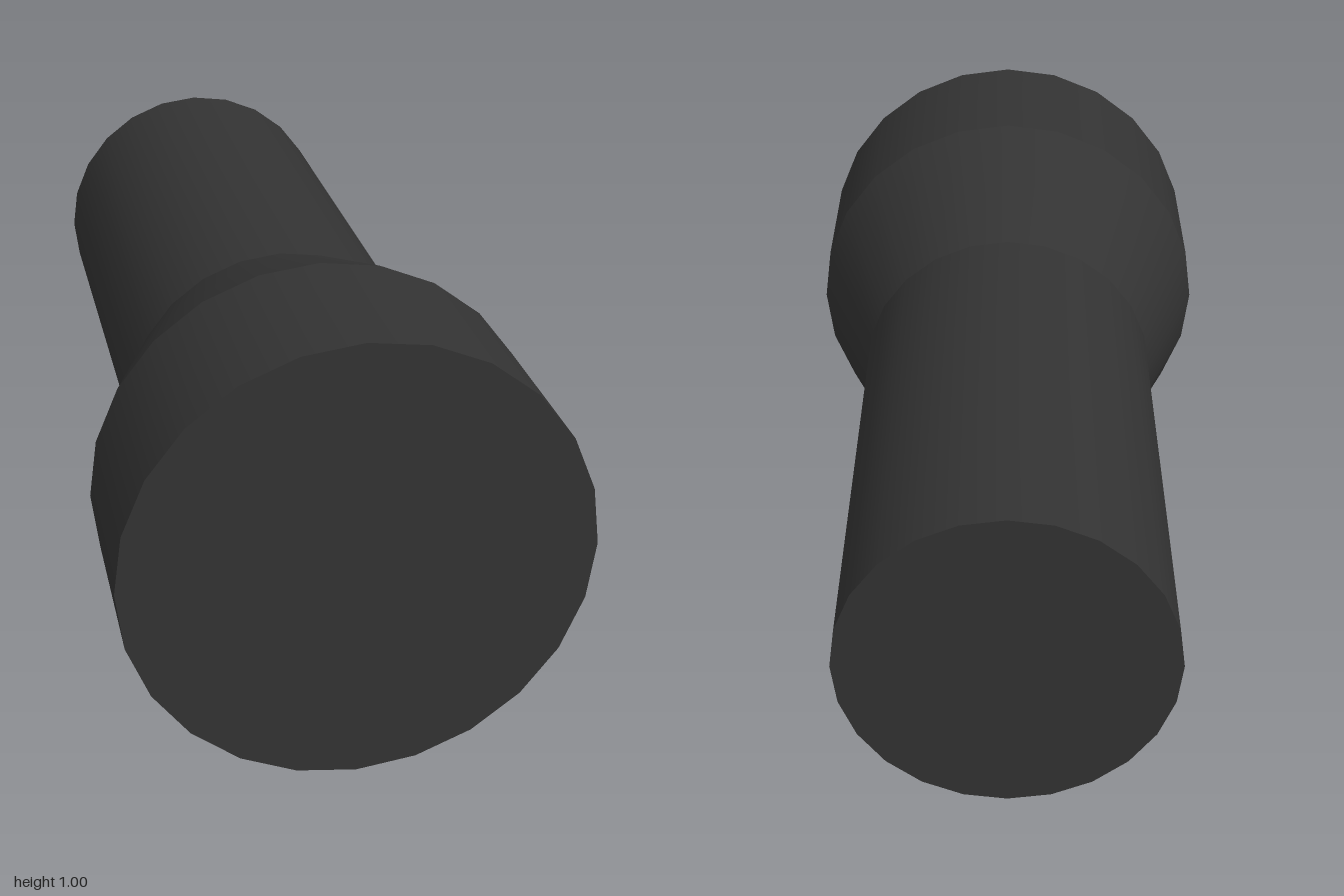
import * as THREE from 'three';

const SIDES = 24;

export function createModel() {
  const model = new THREE.Group();
  model.name = 'flashlight';
  const material = new THREE.MeshStandardMaterial({ color: 0x333333 });

  // Round section along z, from zBack to zFront
  function section(name, zBack, zFront, rBack, rFront, open = true) {
    const geometry = new THREE.CylinderGeometry(rFront, rBack, zFront - zBack, SIDES, 1, open);
    geometry.rotateX(Math.PI / 2);
    const mesh = new THREE.Mesh(geometry, material);
    mesh.name = name;
    mesh.position.set(0, 0.5, (zBack + zFront) / 2);
    model.add(mesh);
  }

  // Flat end cap facing forward (dir 1) or backward (dir -1)
  function endCap(name, z, radius, dir) {
    const geometry = new THREE.CircleGeometry(radius, SIDES);
    if (dir < 0) geometry.rotateY(Math.PI);
    const mesh = new THREE.Mesh(geometry, material);
    mesh.name = name;
    mesh.position.set(0, 0.5, z);
    model.add(mesh);
  }

  section('handle', -1, 0.2, 0.36, 0.36);
  section('taperedNeck', 0.2, 0.6, 0.36, 0.5);
  section('head', 0.6, 1, 0.5, 0.5);
  endCap('lens', 1, 0.5, 1);
  endCap('tailCap', -1, 0.36, -1);

  return model;
}
